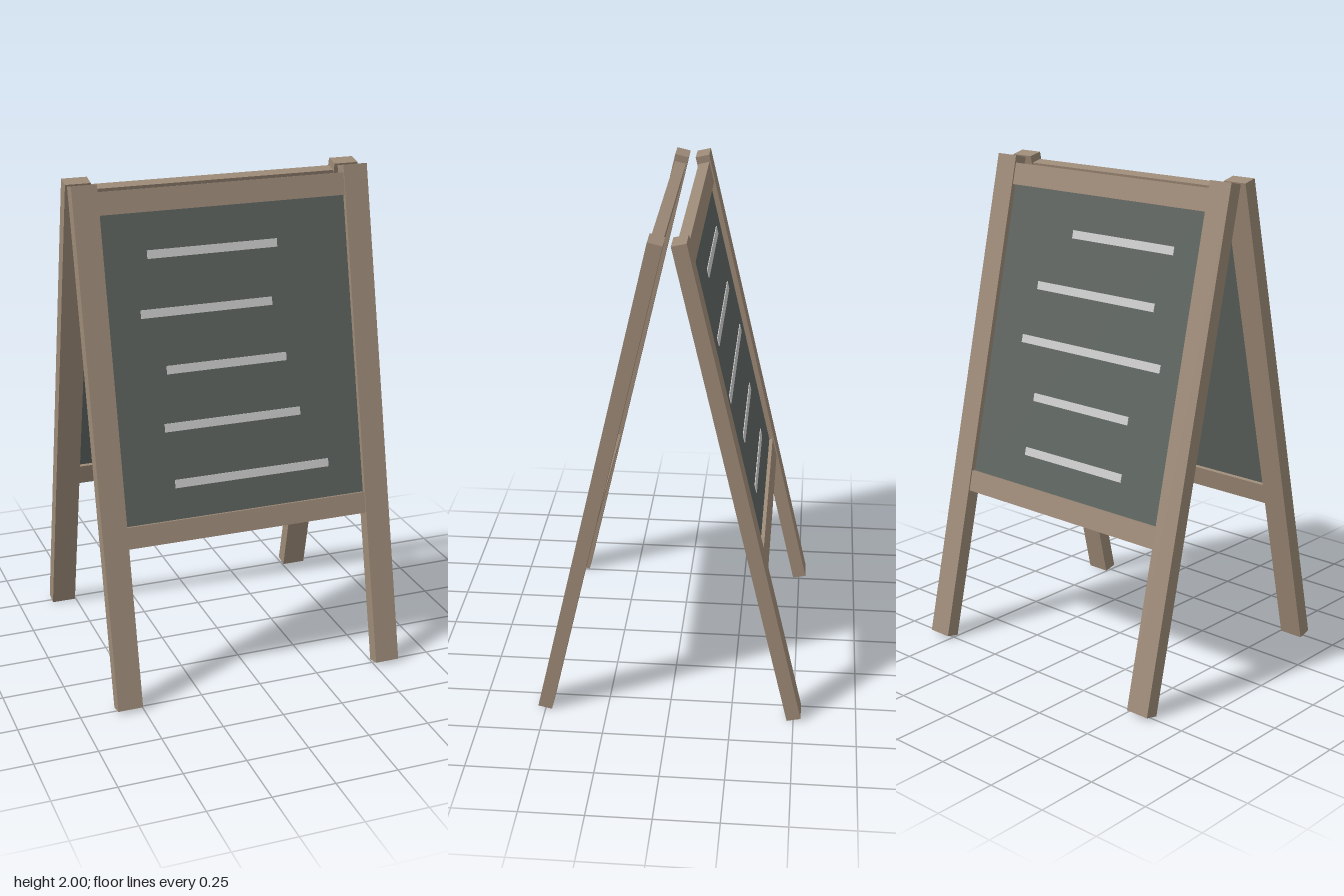
import * as THREE from 'three';

const wood = new THREE.MeshStandardMaterial({ color: 0x9d8a77 });
const slate = new THREE.MeshStandardMaterial({ color: 0x5d635f });
const chalk = new THREE.MeshStandardMaterial({ color: 0xcccccc });

const TILT = Math.atan2(0.46, 1.985);
const LINE_HEIGHTS = [0.739, 0.514, 0.29, 0.066, -0.158];

// Box spanning x0..x1, y0..y1, z0..z1
function box(name, material, x0, x1, y0, y1, z0, z1) {
  const mesh = new THREE.Mesh(new THREE.BoxGeometry(x1 - x0, y1 - y0, z1 - z0), material);
  mesh.position.set((x0 + x1) / 2, (y0 + y1) / 2, (z0 + z1) / 2);
  mesh.name = name;
  return mesh;
}

// One framed board, built upright around its middle and then leaned back
function makeSide(name, lines) {
  const leaf = new THREE.Group();
  leaf.add(
    box('leftLeg', wood, 0.504, 0.605, -1.0185, 1.0185, -0.0285, 0.0285),
    box('rightLeg', wood, -0.605, -0.504, -1.0185, 1.0185, -0.0285, 0.0285),
    box('topRail', wood, -0.504, 0.504, 0.901, 0.989, -0.023, 0.023),
    box('bottomRail', wood, -0.504, 0.504, -0.385, -0.299, -0.023, 0.023),
    box('boardPanel', slate, -0.504, 0.504, -0.31, 0.91, -0.008, 0.008)
  );
  // Chalk strokes on the outer face
  lines.forEach(([x0, x1], i) => {
    const y = LINE_HEIGHTS[i];
    leaf.add(box('chalkLine', chalk, x0, x1, y - 0.0165, y + 0.0165, 0.007, 0.011));
  });
  leaf.position.set(0, 1, 0.272);
  leaf.rotation.x = -TILT;

  const side = new THREE.Group();
  side.name = name;
  side.add(leaf);
  return side;
}

export function createModel() {
  const model = new THREE.Group();
  model.name = 'sandwichBoard';

  const front = makeSide('frontSide', [
    [-0.326, 0.207], [-0.371, 0.169], [-0.286, 0.212], [-0.313, 0.254], [-0.29, 0.36],
  ]);

  // The back is the same leaf turned around, with its own strokes
  const back = makeSide('backSide', [
    [-0.148, 0.372], [-0.297, 0.32], [-0.34, 0.394], [-0.229, 0.277], [-0.232, 0.287],
  ]);
  back.rotation.y = Math.PI;

  model.add(front, back);
  return model;
}
